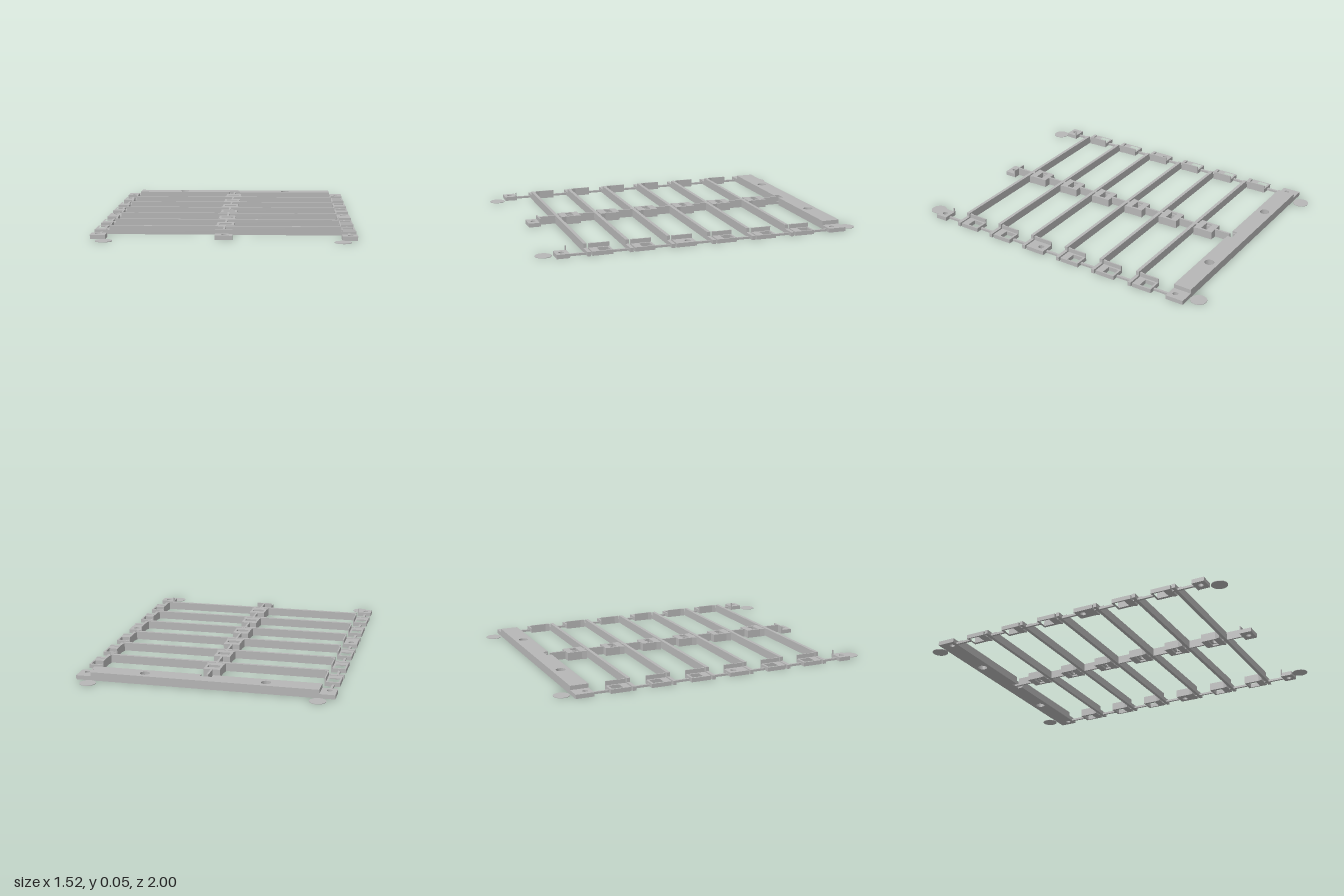
import * as THREE from 'three';

const LOW = 0.025, HIGH = 0.05;

export function createModel() {
  const model = new THREE.Group();
  model.name = 'slattedTrackFrame';
  const grey = new THREE.MeshStandardMaterial({ color: 0xb6b6b6 });

  const add = (geometry, name) => {
    const mesh = new THREE.Mesh(geometry, grey);
    mesh.name = name;
    model.add(mesh);
    return mesh;
  };

  // Box given by its x, y and z ranges
  const box = (name, x0, x1, y0, y1, z0, z1) => {
    const g = new THREE.BoxGeometry(Math.abs(x1 - x0), y1 - y0, z1 - z0);
    g.translate((x0 + x1) / 2, (y0 + y1) / 2, (z0 + z1) / 2);
    return add(g, name);
  };

  const outline = (pts) => pts.map(([x, z]) => new THREE.Vector2(x, z));
  const rect = (x0, x1, z0, z1) => outline([[x0, z0], [x1, z0], [x1, z1], [x0, z1]]);
  const circle = (x, z, r) => new THREE.Path().absarc(x, z, r, 0, Math.PI * 2).getPoints(12);

  // Flat plate with holes, drawn in x and z and standing on the ground
  const plate = (name, pts, height, holes = []) => {
    const shape = new THREE.Shape(pts);
    shape.holes = holes.map((h) => new THREE.Path(h));
    const g = new THREE.ExtrudeGeometry(shape, { depth: height, bevelEnabled: false, curveSegments: 12 });
    g.rotateX(Math.PI / 2);
    g.translate(0, height, 0);
    return add(g, name);
  };

  // Back plate with two round holes and a centre notch
  plate('backPlate', outline([
    [-0.67, -0.9], [0.67, -0.9], [0.67, -0.79], [0.035, -0.79], [0.035, -0.805], [0.025, -0.805],
    [0.025, -0.79], [0.022, -0.79], [0.022, -0.805], [0.035, -0.805], [0.035, -0.822],
    [-0.035, -0.822], [-0.035, -0.79], [-0.67, -0.79],
  ].filter(([x, z]) => !(Math.abs(x) < 0.03 || z === -0.805))), HIGH,
  [circle(-0.358, -0.845, 0.029), circle(0.358, -0.845, 0.029)]);
  box('notchBridge', -0.006, 0.006, 0, 0.012, -0.825, -0.785);
  for (const s of [-1, 1]) {
    box('notchJaw', s * 0.027, s * 0.036, 0.012, 0.038, -0.816, -0.794);
    plate('backPlateEnd', rect(s * 0.67, s * 0.76, -0.9, -0.79), LOW, [circle(s * 0.717, -0.828, 0.016)]);
  }

  // Cross slats with their clips
  for (let i = 0; i < 6; i++) {
    const z = -0.547 + i * 0.2512;
    box('slat', -0.67, 0.67, 0, HIGH, z - 0.01, z + 0.01);

    // Centre clip with slot and flared foot
    plate('centreClip', outline([
      [-0.05, z - 0.143], [0.05, z - 0.143], [0.05, z - 0.05], [0.057, z - 0.02],
      [-0.057, z - 0.02], [-0.05, z - 0.05],
    ]), HIGH, [rect(-0.036, 0.036, z - 0.103, z - 0.062)]);
    box('slotStep', -0.036, 0.036, 0.012, LOW, z - 0.103, z - 0.092);

    for (const s of [-1, 1]) {
      box('slotJaw', s * 0.027, s * 0.037, 0.012, 0.038, z - 0.096, z - 0.068);
      box('slatEnd', s * 0.67, s * 0.76, 0, LOW, z - 0.01, z + 0.01);
      // Side clip, round hole on the fourth row and square on the others
      const hole = i === 3 ? circle(s * 0.717, z - 0.102, 0.018)
        : rect(s * 0.685, s * 0.747, z - 0.13, z - 0.065);
      plate('sideClip', rect(s * 0.672, s * 0.757, z - 0.143, z - 0.02), LOW, [hole]);
      plate('sideClipWall', outline([
        [s * 0.674, z - 0.143], [s * 0.667, z - 0.143], [s * 0.667, z - 0.045],
        [s * 0.66, z - 0.02], [s * 0.674, z - 0.02],
      ]), HIGH);
    }
  }

  // Thin stringers, broken at the clips so the openings stay clear
  for (let i = 0; i < 7; i++) {
    const z1 = -0.547 + i * 0.2512 - 0.14;
    const z0 = i === 0 ? -0.79 : z1 - 0.1312;
    const end = i === 6 ? 0.825 : z1;
    box('centreStringer', -0.006, 0.006, 0, HIGH, z0, end);
    for (const s of [-1, 1]) box('sideStringer', s * 0.71, s * 0.724, 0, 0.013, z0, end);
  }

  // Front tabs
  plate('frontCentreTab', rect(-0.05, 0.05, 0.82, 0.895), LOW, [circle(0, 0.859, 0.016)]);
  box('frontCentreWall', -0.05, 0.05, LOW, HIGH, 0.82, 0.828);
  for (const s of [-1, 1]) {
    plate('frontSideTab', rect(s * 0.67, s * 0.757, 0.82, 0.895), LOW, [circle(s * 0.717, 0.859, 0.016)]);
    box('frontPost', s * 0.667, s * 0.675, 0, HIGH, 0.82, 0.828);
  }

  // Thin corner discs
  for (const x of [-0.67, 0.67]) {
    for (const z of [-0.952, 0.952]) {
      const g = new THREE.CylinderGeometry(0.048, 0.048, 0.003, 32);
      g.translate(x, 0.0015, z);
      add(g, 'cornerDisc');
    }
  }
  return model;
}
